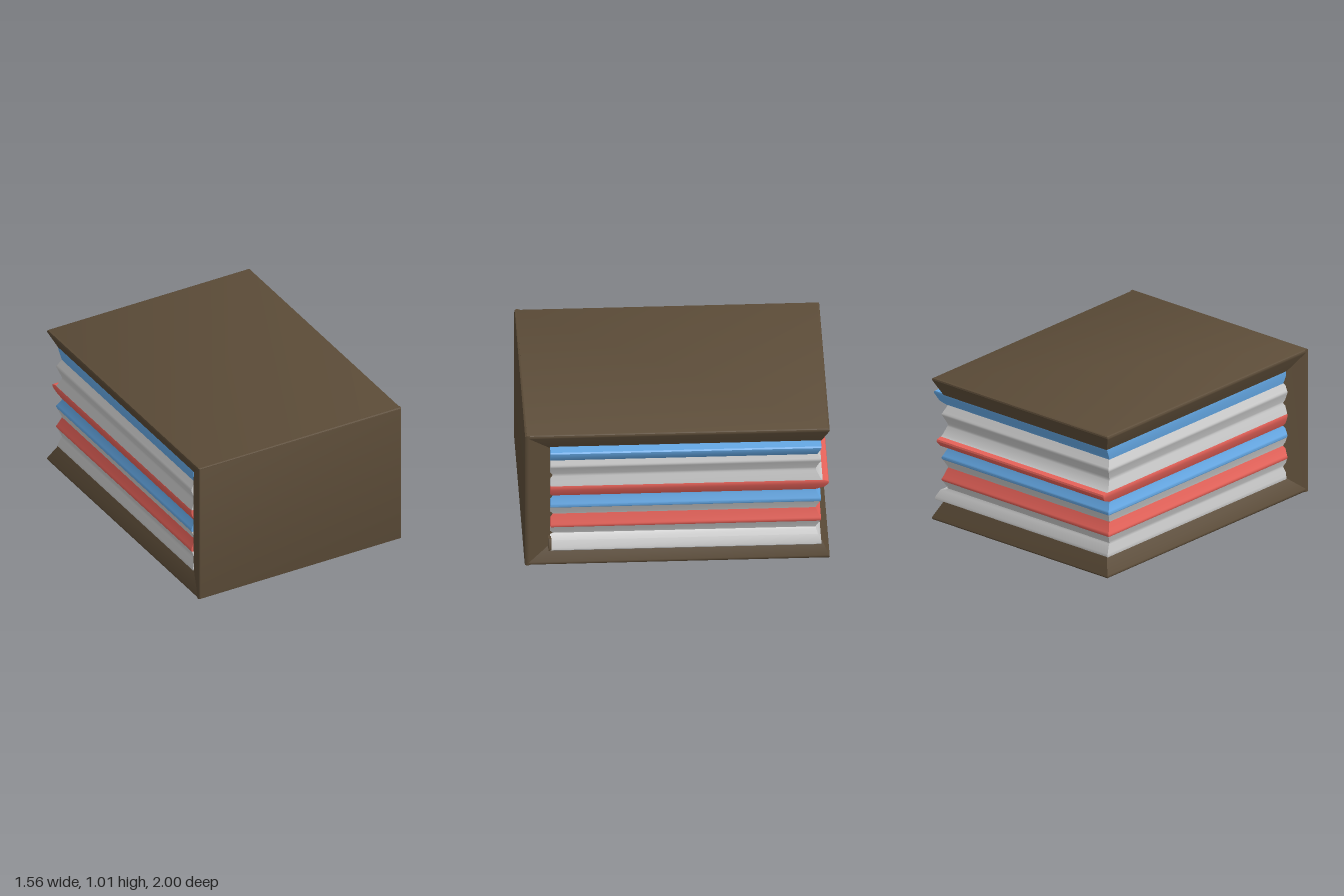
import * as THREE from 'three';
import { toCreasedNormals } from 'three/addons/utils/BufferGeometryUtils.js';

const BROWN = 0x5c4c38, BLUE = 0x65a9e6, RED = 0xe8635a, GREY = 0xcccccc;
const XL = -0.78, XR = 0.75;

// Closed solid through four-cornered rings, with both ends capped
function loft(name, rings, color) {
  const pos = [];
  const quad = (a, b, c, d) => pos.push(...a, ...b, ...c, ...a, ...c, ...d);
  for (let r = 0; r < rings.length - 1; r++) {
    for (let i = 0; i < 4; i++) {
      const j = (i + 1) % 4;
      quad(rings[r][i], rings[r][j], rings[r + 1][j], rings[r + 1][i]);
    }
  }
  const [a, b, c, d] = rings[0];
  quad(d, c, b, a);
  quad(...rings[rings.length - 1]);
  const geo = new THREE.BufferGeometry();
  geo.setAttribute('position', new THREE.Float32BufferAttribute(pos, 3));
  const mesh = new THREE.Mesh(toCreasedNormals(geo, 0.7), new THREE.MeshStandardMaterial({ color }));
  mesh.name = name;
  return mesh;
}

// Horizontal layer; rows run upwards as [y, left x, right x, back z]
function layer(name, color, zFront, rows) {
  return loft(name, rows.map(([y, l, r, b]) => [
    [l, y, zFront], [r, y, zFront], [r, y, b], [l, y, b],
  ]), color);
}

// Row inset from the outer block by dx at the sides and dz at the back
const row = (y, dx, dz) => [y, XL + dx, XR - dx, -1 + dz];
const peak = (y) => row(y, 0.038, 0.055);
const valley = (y) => row(y, 0.062, 0.09);
// Softly rounded ridge and groove
const ridge = (y) => [row(y - 0.014, 0.042, 0.061), peak(y - 0.005), peak(y + 0.005), row(y + 0.014, 0.042, 0.061)];
const groove = (y) => [row(y - 0.012, 0.059, 0.086), valley(y), row(y + 0.012, 0.059, 0.086)];

export function createModel() {
  const book = new THREE.Group();
  book.name = 'bookBlock';

  // Covers, flaring out to their edges
  book.add(layer('bottomCover', BROWN, 0.985, [
    row(0, 0.014, 0.014), row(0.005, 0.004, 0.004), row(0.014, 0, 0),
    row(0.024, 0.002, 0.004), row(0.13, 0.055, 0.057),
  ]));
  book.add(layer('topCover', BROWN, 0.985, [
    row(0.88, 0.055, 0.057), row(0.985, 0.003, 0.006), row(0.995, 0, 0),
    row(1.005, 0.003, 0.003), row(1.01, 0.012, 0.012),
  ]));

  // Spine across the front, its sides sloping in towards the pages
  const spineRing = (z, dx, dy) => [
    [XL + dx, dy, z], [XR - dx, dy, z], [XR - dx, 1.01 - dy, z], [XL + dx, 1.01 - dy, z],
  ];
  book.add(loft('spine', [
    spineRing(0.78, 0.075, 0.01), spineRing(0.965, 0.004, 0.003), spineRing(0.975, 0, 0.001),
    spineRing(0.988, 0, 0.001), spineRing(0.997, 0.004, 0.005), spineRing(1, 0.013, 0.014),
  ], BROWN));

  // Page layers from the bottom up
  const pages = new THREE.Group();
  pages.name = 'pages';
  pages.add(layer('lowestPages', GREY, 0.832, [
    [0.122, XL + 0.05, 0.765, -0.945], [0.13, XL + 0.048, 0.772, -0.945],
    [0.145, XL + 0.05, 0.77, -0.94], [0.19, XL + 0.058, 0.745, -0.922],
    [0.202, XL + 0.06, 0.7, -0.914], valley(0.212), row(0.224, 0.059, 0.086), row(0.268, 0.042, 0.061),
  ]));
  pages.add(layer('lowerRedPages', RED, 0.83, [
    row(0.268, 0.042, 0.061), peak(0.277), peak(0.287), row(0.296, 0.042, 0.061),
    row(0.352, 0.059, 0.086), valley(0.362),
  ]));
  pages.add(layer('middleGreyPages', GREY, 0.83, [
    valley(0.362), row(0.374, 0.059, 0.086), row(0.421, 0.042, 0.061),
  ]));
  pages.add(layer('middleBluePages', BLUE, 0.83, [
    ...ridge(0.435), row(0.492, 0.059, 0.086), valley(0.504),
  ]));
  pages.add(layer('upperRedPages', RED, 0.83, [
    valley(0.504), row(0.514, 0.057, 0.07), row(0.53, 0.05, 0.03), row(0.555, 0.041, 0.01),
    row(0.568, 0.038, 0.004), row(0.58, 0.038, 0.008), row(0.588, 0.04, 0.036),
  ]));
  pages.add(layer('upperGreyPages', GREY, 0.83, [
    row(0.586, 0.04, 0.042), row(0.6, 0.043, 0.058), ...groove(0.665), ...ridge(0.742), valley(0.805),
  ]));
  pages.add(layer('topBluePages', BLUE, 0.832, [
    valley(0.8), [0.812, XL + 0.06, 0.742, -0.912], [0.824, XL + 0.058, 0.76, -0.918],
    [0.868, XL + 0.052, 0.78, -0.938], [0.884, XL + 0.052, 0.782, -0.945],
    [0.892, XL + 0.052, 0.774, -0.943],
  ]));
  book.add(pages);

  // Brown end piece covering the front of the lowest strip
  book.add(layer('stripEnd', BROWN, 0.845, [
    [0.122, 0.68, 0.77, 0.825], [0.14, 0.68, 0.774, 0.825], [0.2, 0.68, 0.745, 0.825],
  ]));
  return book;
}
